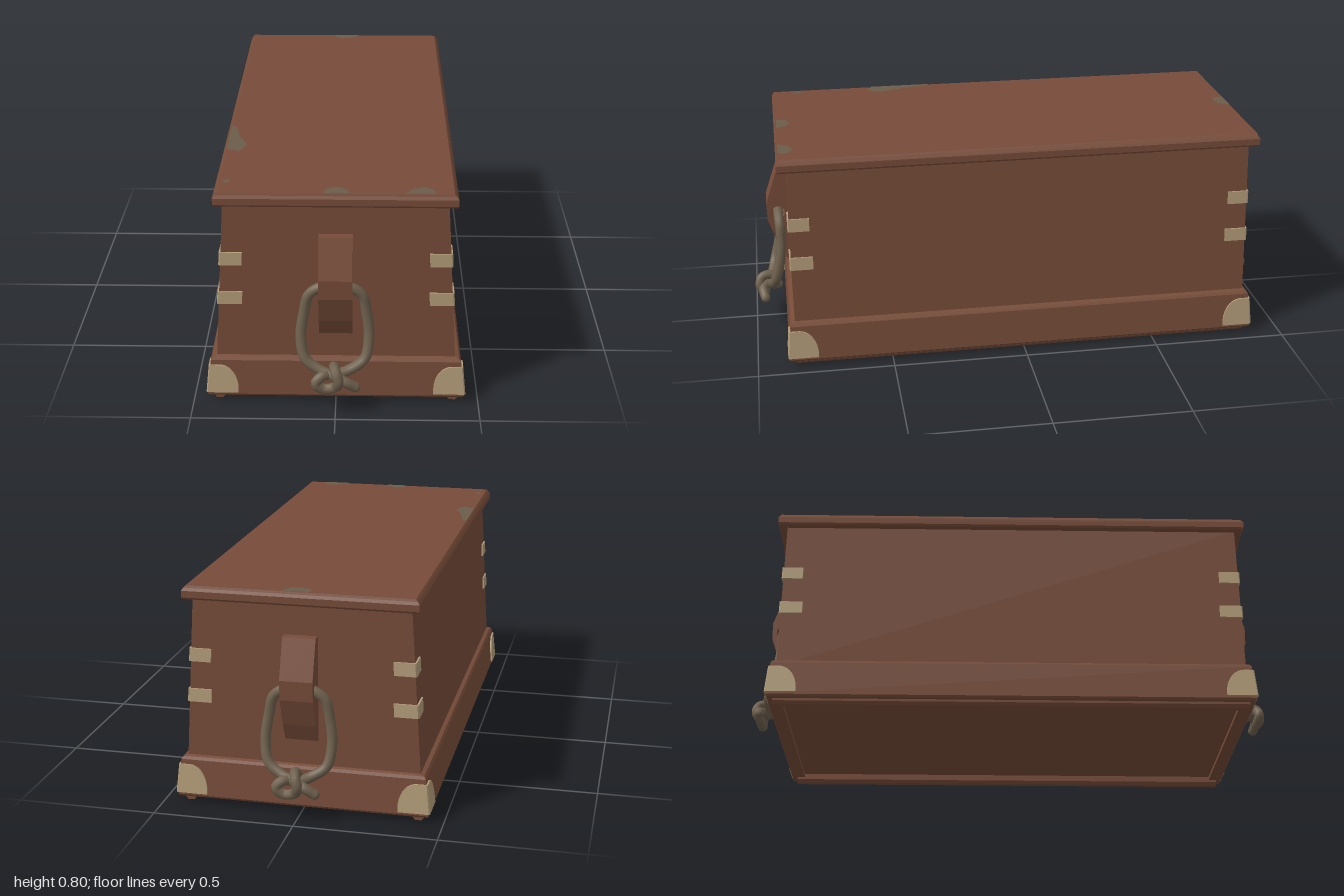
import * as THREE from 'three';

const mat = (name, color) => Object.assign(new THREE.MeshStandardMaterial({ color }), { name });

// Closed rings of [x, y, z], bottom to top, joined with flat faces and capped
function loft(rings) {
  const pos = [];
  const tri = (a, b, c) => pos.push(...a, ...b, ...c);
  const n = rings[0].length;
  for (let r = 0; r < rings.length - 1; r++) {
    const a = rings[r], b = rings[r + 1];
    for (let i = 0; i < n; i++) {
      const j = (i + 1) % n;
      tri(a[i], a[j], b[j]);
      tri(a[i], b[j], b[i]);
    }
  }
  const lo = rings[0], hi = rings[rings.length - 1];
  for (let i = 1; i < n - 1; i++) {
    tri(lo[0], lo[i + 1], lo[i]);
    tri(hi[0], hi[i], hi[i + 1]);
  }
  const g = new THREE.BufferGeometry();
  g.setAttribute('position', new THREE.Float32BufferAttribute(pos, 3));
  g.computeVertexNormals();
  return g;
}

// Stack of rectangles given as [half width, half length, height]
const stack = (sections) => loft(sections.map(([x, z, y]) =>
  [[-x, y, z], [x, y, z], [x, y, -z], [-x, y, -z]]));

// L-shaped plate wrapped round a corner; rows are [height, reach], half(y) gives [x, z] of the wall
function cornerPlate(rows, half, t, sx, sz) {
  return loft(rows.map(([y, w]) => {
    const [x, z] = half(y), e = 0.006;
    const p = [[x - e, z - e], [x - w, z - e], [x - w, z + t], [x + t * 0.3, z + t],
      [x + t, z + t * 0.3], [x + t, z - w], [x - e, z - w]].map(([a, b]) => [a * sx, y, b * sz]);
    return sx * sz > 0 ? p : [p[0], ...p.slice(1).reverse()];
  }));
}

const v = (a) => a.map((p) => new THREE.Vector3(...p));
const rope = (pts, r, seg) => {
  const g = new THREE.TubeGeometry(new THREE.CatmullRomCurve3(v(pts)), seg, r, 10);
  return g;
};

export function createModel() {
  const root = new THREE.Group();
  root.name = 'chest';
  const wood = mat('brown wood', 0x774c39);
  const brass = mat('dull brass', 0xb39d79);
  const cord = mat('grey rope', 0x6f614e);
  const worn = mat('worn patch', 0x6a5d49);
  const add = (name, geo, m, parent = root) => {
    const mesh = new THREE.Mesh(geo, m);
    mesh.name = name;
    parent.add(mesh);
    return mesh;
  };

  // Tapered box, moulded plinth with recessed underside, and lid
  add('body', stack([[0.417, 0.857, 0.15], [0.38, 0.857, 0.755]]), wood);
  add('plinth', stack([[0.39, 0.83, 0.034], [0.39, 0.83, 0.02], [0.445, 0.878, 0.02],
    [0.45, 0.883, 0.028], [0.437, 0.874, 0.158], [0.43, 0.868, 0.168], [0.412, 0.855, 0.173]]), wood);
  add('lid', stack([[0.405, 0.885, 0.75], [0.41, 0.89, 0.757], [0.41, 0.89, 0.78],
    [0.403, 0.884, 0.79], [0.396, 0.881, 0.798]]), wood);

  // Runners beneath the long sides
  for (const s of [-1, 1]) {
    const shape = new THREE.Shape([[-0.02, 0.022], [-0.02, 0.011], [-0.011, 0], [0.011, 0],
      [0.02, 0.011], [0.02, 0.022]].map((p) => new THREE.Vector2(...p)));
    const g = new THREE.ExtrudeGeometry(shape, { depth: 1.72, bevelEnabled: false });
    add('runner', g.translate(0.41 * s, 0, -0.86), wood);
  }

  // Brass straps and rounded corner guards
  const wall = (y) => [0.417 - 0.037 * (y - 0.15) / 0.605, 0.857];
  const base = (y) => [0.45 - 0.1 * (y - 0.028), 0.883 - 0.07 * (y - 0.028)];
  const guardRows = [];
  for (let i = 0; i <= 10; i++) {
    const a = (i / 10) * Math.PI / 2;
    guardRows.push([0.036 + 0.105 * Math.sin(a), 0.032 + 0.075 * Math.cos(a)]);
  }
  for (const sx of [-1, 1]) for (const sz of [-1, 1]) {
    add('upperStrap', cornerPlate([[0.521, 0.073], [0.569, 0.073]], wall, 0.006, sx, sz), brass);
    add('lowerStrap', cornerPlate([[0.373, 0.08], [0.421, 0.08]], wall, 0.006, sx, sz), brass);
    add('cornerGuard', cornerPlate(guardRows, base, 0.006, sx, sz), brass);
  }

  // Each end: pointed lid apron, pierced cleat and knotted rope handle
  const apron = new THREE.Shape();
  apron.moveTo(-0.385, 0.752);
  apron.lineTo(-0.035, 0.69);
  apron.quadraticCurveTo(0, 0.68, 0.035, 0.69);
  apron.lineTo(0.385, 0.752);
  const apronGeo = new THREE.ExtrudeGeometry(apron, { depth: 0.035, bevelEnabled: false }).translate(0, 0, 0.85);

  const cleat = new THREE.Shape([[0.85, 0.265], [0.866, 0.265], [0.898, 0.33], [0.934, 0.43],
    [0.936, 0.5], [0.888, 0.64], [0.85, 0.64]].map((p) => new THREE.Vector2(...p)));
  const hole = new THREE.Path();
  hole.absarc(0.893, 0.46, 0.026, 0, Math.PI * 2, true);
  cleat.holes.push(hole);
  const cleatGeo = new THREE.ExtrudeGeometry(cleat, { depth: 0.116, bevelEnabled: false, curveSegments: 10 })
    .rotateY(-Math.PI / 2).translate(0.058, 0, 0);

  // Rope runs from the tail, up through the cleat, down and round the knot
  const loop = [[0.068, 0.108, 0.962], [0.03, 0.132, 0.968], [-0.01, 0.142, 0.945], [-0.06, 0.16, 0.93],
    [-0.105, 0.195, 0.918], [-0.12, 0.27, 0.898], [-0.108, 0.36, 0.888], [-0.092, 0.425, 0.89],
    [-0.055, 0.455, 0.893], [0, 0.46, 0.893], [0.055, 0.455, 0.893], [0.092, 0.425, 0.89],
    [0.106, 0.36, 0.888], [0.115, 0.27, 0.898], [0.1, 0.195, 0.918], [0.05, 0.16, 0.932],
    [0.005, 0.135, 0.92], [-0.045, 0.145, 0.955], [-0.068, 0.12, 0.965], [-0.04, 0.098, 0.96],
    [0, 0.108, 0.965], [0.012, 0.135, 0.981], [0.002, 0.168, 0.972], [-0.005, 0.172, 0.935],
    [0.002, 0.135, 0.91]];
  const ropeGeo = rope(loop, 0.0185, 150);

  for (const [name, turn] of [['frontEnd', 0], ['backEnd', Math.PI]]) {
    const end = new THREE.Group();
    end.name = name;
    end.rotation.y = turn;
    root.add(end);
    add('lidApron', apronGeo, wood, end);
    add('handleCleat', cleatGeo, wood, end);
    add('ropeHandle', ropeGeo, cord, end);
    // Cut ends of the rope
    for (const p of [loop[0], loop[loop.length - 1]]) {
      const cap = add('ropeEnd', new THREE.SphereGeometry(0.0183, 10, 6), cord, end);
      cap.position.set(...p);
      cap.scale.setScalar(0.99);
    }
  }

  // Worn patches on the lid, outlined as [x, z]
  const patches = [
    [[-0.396, 0.25], [-0.375, 0.28], [-0.362, 0.36], [-0.325, 0.45], [-0.35, 0.51], [-0.396, 0.49]],
    [[-0.04, 0.88], [-0.035, 0.845], [0, 0.828], [0.035, 0.845], [0.05, 0.88]],
    [[0.23, 0.88], [0.26, 0.84], [0.3, 0.825], [0.33, 0.85], [0.33, 0.88]],
    [[-0.04, -0.88], [-0.035, -0.845], [0, -0.83], [0.04, -0.84], [0.065, -0.88]],
    [[-0.385, 0.78], [-0.365, 0.77], [-0.355, 0.79], [-0.375, 0.8]],
  ];
  for (const p of patches) {
    const shape = new THREE.Shape(p.map(([x, z]) => new THREE.Vector2(x, -z)));
    add('wornPatch', new THREE.ShapeGeometry(shape).rotateX(-Math.PI / 2).translate(0, 0.8, 0), worn);
  }
  return root;
}
